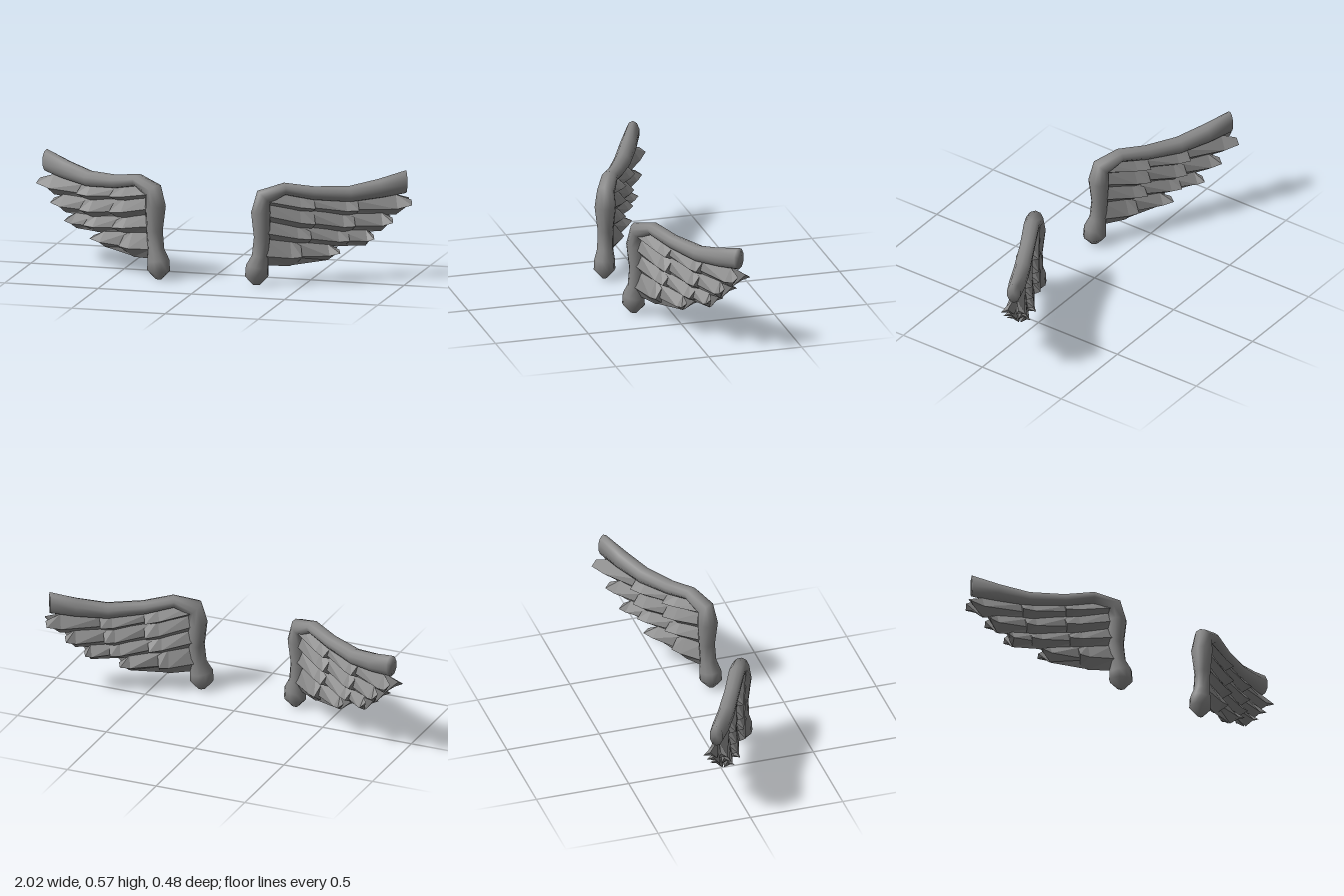
import * as THREE from 'three';

const COLOR = 0x888888;
const smooth = new THREE.MeshStandardMaterial({ color: COLOR, side: THREE.DoubleSide });
const flat = new THREE.MeshStandardMaterial({ color: COLOR, flatShading: true, side: THREE.DoubleSide });

// Closed skin over a list of equal-sized rings, with a fan cap at both ends
function loft(rings, flip) {
  const n = rings[0].length, pos = [], idx = [];
  rings.forEach(r => r.forEach(p => pos.push(p.x, p.y, p.z)));
  const tri = (a, b, c) => (flip ? idx.push(a, c, b) : idx.push(a, b, c));
  for (let i = 0; i < rings.length - 1; i++) {
    for (let j = 0; j < n; j++) {
      const a = i * n + j, b = i * n + (j + 1) % n;
      tri(a, b, b + n);
      tri(a, b + n, a + n);
    }
  }
  [0, rings.length - 1].forEach(i => {
    const c = new THREE.Vector3();
    rings[i].forEach(p => c.addScaledVector(p, 1 / n));
    const k = pos.length / 3;
    pos.push(c.x, c.y, c.z);
    for (let j = 0; j < n; j++) {
      const a = i * n + j, b = i * n + (j + 1) % n;
      if (i) tri(k, a, b); else tri(k, b, a);
    }
  });
  const g = new THREE.BufferGeometry();
  g.setAttribute('position', new THREE.Float32BufferAttribute(pos, 3));
  g.setIndex(idx);
  return g;
}

// Leading bone: [along wing, height, radius in wing plane, half thickness]
const BONE = [
  [0, 0, 0.02, 0.015], [0, 0.045, 0.062, 0.056], [0.002, 0.095, 0.06, 0.054],
  [0.018, 0.15, 0.044, 0.042], [0.028, 0.25, 0.043, 0.041], [0.022, 0.38, 0.052, 0.056],
  [0.037, 0.46, 0.049, 0.046], [0.146, 0.5, 0.032, 0.042], [0.297, 0.47, 0.036, 0.04],
  [0.488, 0.457, 0.043, 0.044], [0.65, 0.48, 0.051, 0.044], [0.787, 0.51, 0.06, 0.036],
];

function boneGeometry(side) {
  const rings = BONE.map(([u, y, r, w], i) => {
    const a = BONE[Math.max(i - 1, 0)], b = BONE[Math.min(i + 1, BONE.length - 1)];
    const t = new THREE.Vector2(b[0] - a[0], b[1] - a[1]).normalize();
    if (i === 0) t.set(0, 1);
    if (i === BONE.length - 1) t.set(1, 0);
    return Array.from({ length: 10 }, (_, j) => {
      const q = j / 10 * Math.PI * 2, c = Math.cos(q) * r;
      return new THREE.Vector3(side * (u - t.y * c), y + t.x * c, Math.sin(q) * w);
    });
  });
  const g = loft(rings, side < 0);
  g.computeVertexNormals();
  return g;
}

// Feather rows: u = layer ends along the wing, top/bottom = edge heights there
const ROWS = [
  { u: [0.03, 0.3, 0.53, 0.81], top: [0.49, 0.445, 0.435, 0.45], bottom: [0.42, 0.36, 0.335, 0.34] },
  { u: [0.03, 0.3, 0.51, 0.71], top: [0.44, 0.38, 0.355, 0.355], bottom: [0.33, 0.265, 0.25, 0.258] },
  { u: [0.03, 0.28, 0.48, 0.61], top: [0.35, 0.29, 0.27, 0.265], bottom: [0.235, 0.195, 0.18, 0.185] },
  { u: [0.03, 0.23, 0.43], top: [0.25, 0.22, 0.19], bottom: [0.1, 0.088, 0.125] },
];

// One ridged feather with a blunt end, leaning out from the wing plane
function featherGeometry(row, layer, side, face) {
  const { u, top, bottom } = row;
  const lerp = THREE.MathUtils.lerp;
  const last = layer === u.length - 2;
  const section = (t, cutTop, cutBottom, low, high) => {
    const k = layer + t, i = Math.min(Math.floor(k), u.length - 2), f = k - i;
    const x = lerp(u[i], u[i + 1], f);
    const a = lerp(top[i], top[i + 1], f), b = lerp(bottom[i], bottom[i + 1], f), h = a - b;
    const y0 = a - h * cutTop, y1 = b + h * cutBottom;
    const p = (dx, y, w) => new THREE.Vector3(side * (x - dx), y, face * w);
    return [p(0, y0, low), p(0.1 * h * cutBottom, lerp(y1, y0, 0.36), high), p(0.6 * h * cutBottom, y1, low)];
  };
  const rings = [
    section(layer ? -0.35 : 0, 0, 0, 0, layer ? 0.015 : 0.03),
    section(0.72, 0, 0, 0.004, 0.05),
    last ? section(1, 0.28, 0.4, 0.028, 0.064) : section(1, 0.08, 0.18, 0.008, 0.06),
  ];
  const g = loft(rings, side * face < 0).toNonIndexed();
  g.computeVertexNormals();
  return g;
}

function wing(side) {
  const group = new THREE.Group();
  group.name = side > 0 ? 'leftWing' : 'rightWing';
  const bone = new THREE.Mesh(boneGeometry(side), smooth);
  bone.name = 'wingBone';
  group.add(bone);
  // Overlapping feathers on the front and back faces
  for (const face of [1, -1]) {
    const feathers = new THREE.Group();
    feathers.name = face > 0 ? 'frontFeathers' : 'backFeathers';
    ROWS.forEach((row, r) => {
      for (let layer = 0; layer < row.u.length - 1; layer++) {
        const m = new THREE.Mesh(featherGeometry(row, layer, side, face), flat);
        m.name = `featherRow${r + 1}Layer${layer + 1}`;
        feathers.add(m);
      }
    });
    group.add(feathers);
  }
  // Sweep the wing backwards
  group.position.set(side * 0.263, 0, 0.187);
  group.rotation.y = side * 0.475;
  return group;
}

export function createModel() {
  const model = new THREE.Group();
  model.name = 'wings';
  model.add(wing(1), wing(-1));
  return model;
}
